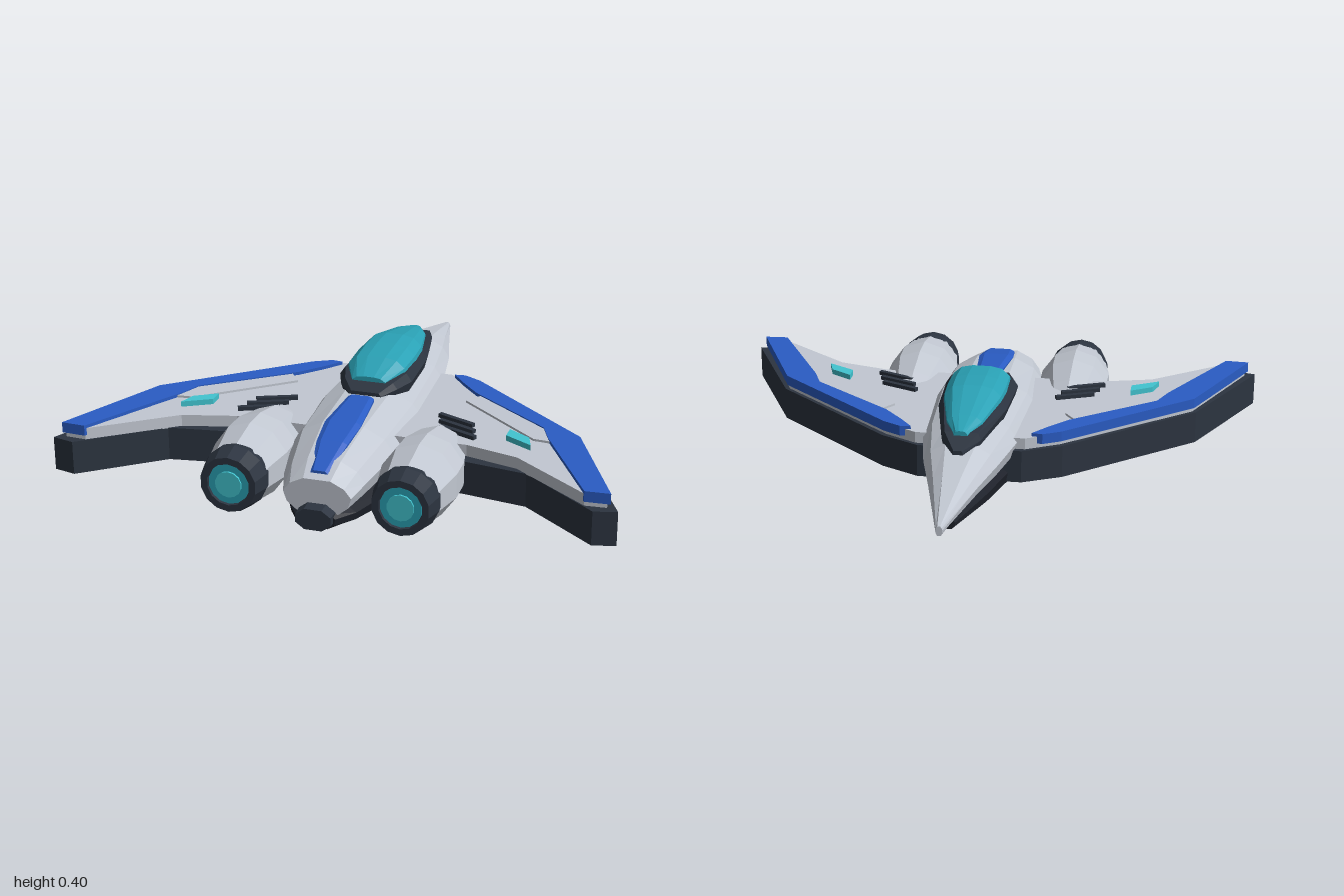
import * as THREE from 'three';

const mat = (name, color) => {
  const m = new THREE.MeshStandardMaterial({ color, flatShading: true });
  m.name = name;
  return m;
};

// Flat-faced loft: stations are [z, halfWidth, yBottom, yTop],
// profile is the right half of the section, bottom to top, x and y in 0..1
function loft(stations, half) {
  const profile = [...half, ...half.slice().reverse().map(([x, y]) => [-x, y])];
  const n = profile.length;
  const rings = stations.map(([z, w, y0, y1]) =>
    profile.map(([x, y]) => [x * w, y0 + (y1 - y0) * y, z]));
  const pos = [];
  const tri = (a, b, c) => pos.push(...a, ...b, ...c);
  for (let i = 0; i < rings.length - 1; i++) {
    for (let j = 0; j < n; j++) {
      const k = (j + 1) % n;
      const a = rings[i][j], b = rings[i][k], c = rings[i + 1][k], d = rings[i + 1][j];
      tri(a, b, c);
      tri(a, c, d);
    }
  }
  const first = rings[0], last = rings[rings.length - 1];
  for (let j = 1; j < n - 1; j++) {
    tri(first[0], first[j + 1], first[j]);
    tri(last[0], last[j], last[j + 1]);
  }
  const g = new THREE.BufferGeometry();
  g.setAttribute('position', new THREE.Float32BufferAttribute(pos, 3));
  g.computeVertexNormals();
  return g;
}

// Horizontal plate from an (x, z) outline, mirrored by side
function plate(outline, y0, y1, side) {
  const shape = new THREE.Shape(outline.map(([x, z]) => new THREE.Vector2(x * side, z)));
  const g = new THREE.ExtrudeGeometry(shape, { depth: y1 - y0, bevelEnabled: false });
  return g.rotateX(Math.PI / 2).translate(0, y1, 0);
}

// Lathe around the z axis from [radius, z] points
const turned = (points, sides) =>
  new THREE.LatheGeometry(points.map(([r, z]) => new THREE.Vector2(r, z)), sides).rotateX(Math.PI / 2);

export function createModel() {
  const white = mat('hull grey', 0xc2c8d2);
  const dark = mat('dark armour', 0x2c3440);
  const under = mat('belly black', 0x1d212a);
  const blue = mat('trim blue', 0x2a5cc4);
  const glass = mat('canopy teal', 0x2aa2b6);
  const glow = mat('light cyan', 0x42c4d0);

  const model = new THREE.Group();
  model.name = 'starfighter';
  const add = (parent, name, geometry, material) => {
    const m = new THREE.Mesh(geometry, material);
    m.name = name;
    parent.add(m);
    return m;
  };

  // Fuselage, from needle nose to blunt tail
  add(model, 'fuselage', loft([
    [-0.83, 0.012, 0.15, 0.185],
    [-0.55, 0.085, 0.135, 0.25],
    [-0.38, 0.132, 0.12, 0.285],
    [-0.15, 0.175, 0.1, 0.3],
    [0.2, 0.2, 0.08, 0.3],
    [0.5, 0.185, 0.07, 0.285],
    [0.7, 0.145, 0.07, 0.24],
    [0.78, 0.12, 0.07, 0.2],
  ], [[0.5, 0], [0.9, 0.3], [1, 0.58], [0.8, 0.82], [0.4, 1]]), white);

  // Dark keel under the hull
  add(model, 'belly', loft([
    [-0.68, 0.03, 0.105, 0.14],
    [-0.4, 0.1, 0.06, 0.14],
    [-0.05, 0.17, 0.02, 0.13],
    [0.25, 0.185, 0.009, 0.12],
    [0.53, 0.18, 0, 0.1],
    [0.72, 0.12, 0.022, 0.09],
    [0.8, 0.07, 0.033, 0.09],
  ], [[0.6, 0], [0.95, 0.3], [1, 0.7], [0.7, 1]]), under);
  add(model, 'tailNozzle', loft([
    [0.7, 0.07, 0.03, 0.12],
    [0.825, 0.062, 0.035, 0.11],
  ], [[0.5, 0], [1, 0.3], [1, 0.7], [0.5, 1]]), dark);

  // Cockpit
  add(model, 'canopyFrame', loft([
    [-0.44, 0.018, 0.26, 0.288],
    [-0.36, 0.07, 0.26, 0.325],
    [-0.1, 0.125, 0.27, 0.345],
    [0.13, 0.135, 0.27, 0.345],
    [0.21, 0.105, 0.28, 0.335],
    [0.26, 0.06, 0.28, 0.31],
  ], [[0.9, 0], [1, 0.6], [0.85, 1]]), dark);
  add(model, 'canopyGlass', loft([
    [-0.375, 0.025, 0.315, 0.335],
    [-0.29, 0.065, 0.325, 0.36],
    [-0.1, 0.108, 0.335, 0.4],
    [0, 0.113, 0.335, 0.4],
    [0.12, 0.11, 0.335, 0.392],
    [0.215, 0.065, 0.325, 0.35],
  ], [[1, 0], [0.95, 0.4], [0.68, 0.85], [0.3, 1]]), glass);

  // Blue stripe following the spine down to the tail
  add(model, 'dorsalStripe', loft([
    [0.3, 0.048, 0.28, 0.313],
    [0.5, 0.066, 0.26, 0.298],
    [0.62, 0.055, 0.24, 0.275],
    [0.755, 0.03, 0.19, 0.222],
  ], [[1, 0], [1, 0.75], [0.7, 1]]), blue);

  const slab = [[0.08, -0.19], [0.19, -0.19], [0.33, -0.12], [0.79, 0.275],
    [1, 0.705], [0.92, 0.725], [0.65, 0.51], [0.42, 0.475], [0.08, 0.45]];
  const skin = [[0.08, -0.17], [0.2, -0.17], [0.32, -0.105], [0.775, 0.28],
    [0.96, 0.685], [0.885, 0.69], [0.61, 0.48], [0.42, 0.43], [0.08, 0.43]];
  const trim = [[0.22, -0.145], [0.26, -0.15], [0.325, -0.115], [0.782, 0.275],
    [0.972, 0.69], [0.885, 0.695], [0.68, 0.32], [0.645, 0.235], [0.34, 0], [0.27, -0.08]];
  const panel = [[0.36, 0.015], [0.32, 0.07], [0.63, 0.33], [0.69, 0.335], [0.645, 0.235]];
  const light = [[0.54, 0.3], [0.54, 0.355], [0.64, 0.412], [0.62, 0.35]];

  for (const side of [1, -1]) {
    const label = side > 0 ? 'left' : 'right';

    // Wing: dark slab, pale skin, blue leading edge and small details
    const wing = new THREE.Group();
    wing.name = label + 'Wing';
    model.add(wing);
    add(wing, 'wingSlab', plate(slab, 0.07, 0.192, side), dark);
    add(wing, 'wingSkin', plate(skin, 0.19, 0.234, side), white);
    add(wing, 'leadingEdge', plate(trim, 0.208, 0.246, side), blue);
    add(wing, 'raisedPanel', plate(panel, 0.23, 0.242, side), white);
    add(wing, 'wingLight', plate(light, 0.23, 0.254, side), glow);
    for (let i = 0; i < 3; i++) {
      const vent = add(wing, 'vent', new THREE.BoxGeometry(0.15, 0.02, 0.018), dark);
      vent.position.set(side * (0.335 + i * 0.016), 0.238, 0.25 + i * 0.05);
      vent.rotation.y = -side * 0.4;
    }

    // Engine nacelle
    const engine = new THREE.Group();
    engine.name = label + 'Engine';
    engine.position.set(side * 0.302, 0.157, 0);
    model.add(engine);
    add(engine, 'nacelle', turned([[0, 0.25], [0.065, 0.25], [0.105, 0.36],
      [0.135, 0.5], [0.138, 0.6], [0.112, 0.74], [0, 0.74]], 10), white);
    add(engine, 'exhaustRing', turned([[0.113, 0.725], [0.116, 0.75], [0.1, 0.82],
      [0.076, 0.82], [0.072, 0.77]], 14), dark);
    add(engine, 'exhaustGlow', turned([[0.073, 0.77], [0.073, 0.812], [0, 0.812]], 14), glass);
    add(engine, 'exhaustCore', turned([[0.047, 0.8], [0.047, 0.819], [0, 0.819]], 14), glow);
  }
  return model;
}
